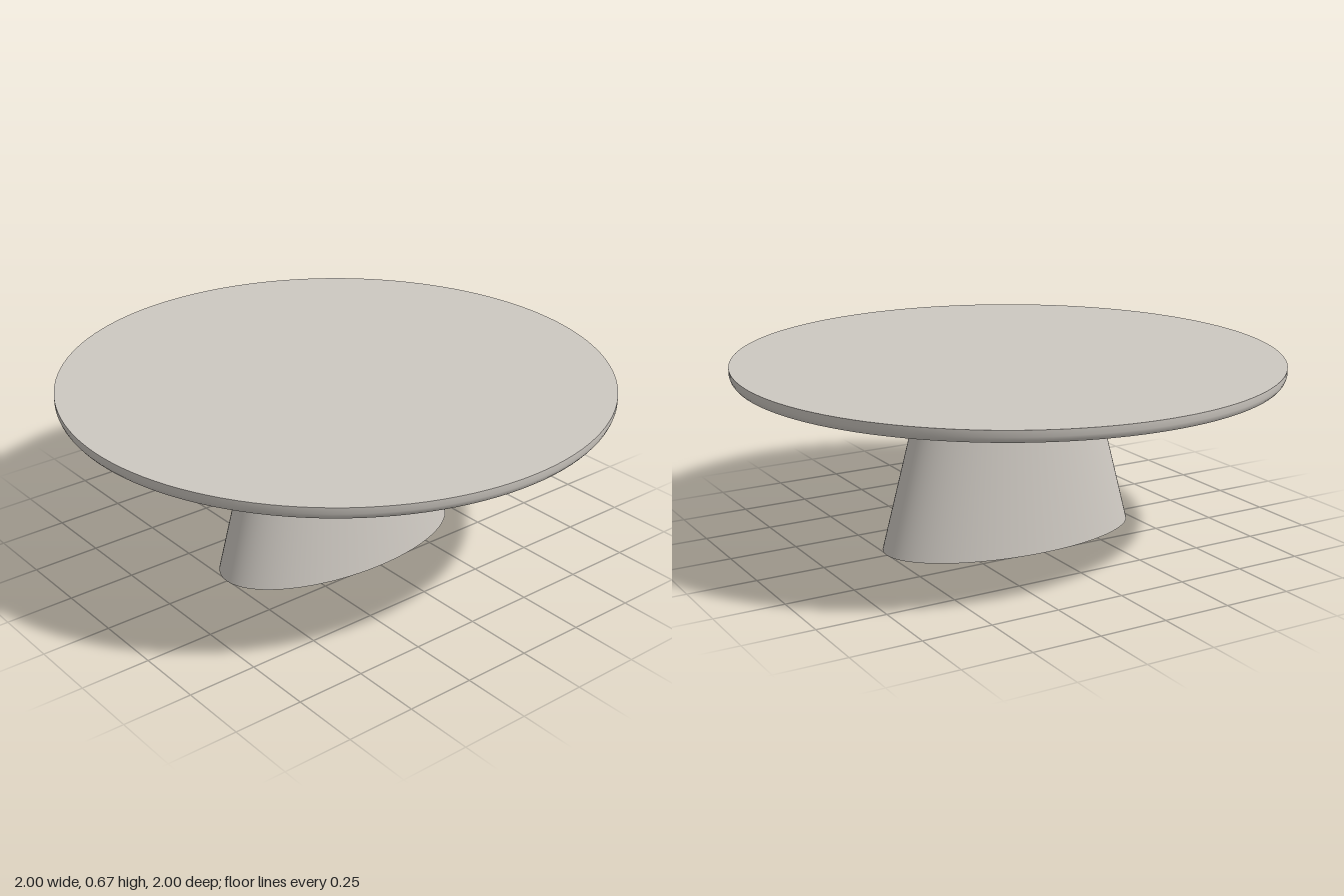
import * as THREE from 'three';
import { toCreasedNormals } from 'three/addons/utils/BufferGeometryUtils.js';

export function createModel() {
  const table = new THREE.Group();
  table.name = 'pedestalTable';
  const stone = new THREE.MeshStandardMaterial({ color: 0xcdc8c1 });
  stone.name = 'warm grey stone';

  const underside = 0.63;
  const height = 0.672;

  // Round top with a slightly eased lower edge
  const profile = [
    [0, underside], [0.99, underside], [0.996, 0.638], [1, 0.65], [1, height], [0, height],
  ].map(([r, y]) => new THREE.Vector2(r, y));
  const topGeometry = toCreasedNormals(new THREE.LatheGeometry(profile, 128), 0.6);
  const top = new THREE.Mesh(topGeometry, stone);
  top.name = 'tableTop';

  // Tapered oval pedestal, wide across x and narrow along z
  const baseGeometry = new THREE.CylinderGeometry(0.335, 0.505, underside, 96);
  baseGeometry.scale(1, 1, 0.52);
  baseGeometry.translate(0, underside / 2, 0);
  const base = new THREE.Mesh(baseGeometry, stone);
  base.name = 'pedestal';

  table.add(top, base);
  return table;
}
